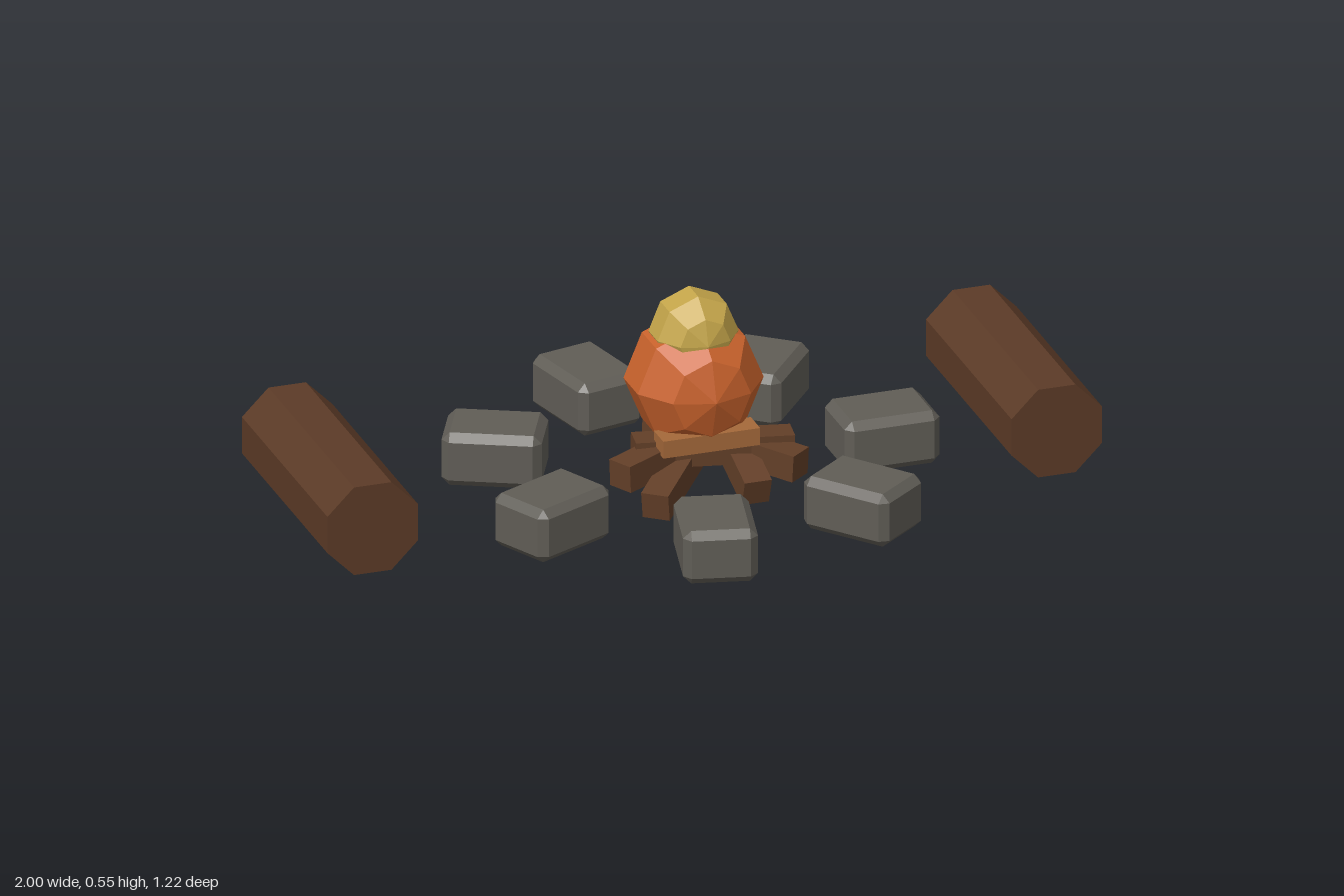
import * as THREE from 'three';
import { ConvexGeometry } from 'three/addons/geometries/ConvexGeometry.js';

const mat = (color) => new THREE.MeshStandardMaterial({ color, flatShading: true });

// Box with flat chamfers on every edge
function chamferBox(w, h, d, c) {
  const pts = [];
  for (const x of [-1, 1]) for (const y of [-1, 1]) for (const z of [-1, 1]) {
    pts.push(new THREE.Vector3(x * w / 2, y * (h / 2 - c), z * (d / 2 - c)));
    pts.push(new THREE.Vector3(x * (w / 2 - c), y * h / 2, z * (d / 2 - c)));
    pts.push(new THREE.Vector3(x * (w / 2 - c), y * (h / 2 - c), z * d / 2));
  }
  return new ConvexGeometry(pts);
}

export function createModel() {
  const model = new THREE.Group();
  const bark = mat(0x5c3b27), wood = mat(0x633f28), paleWood = mat(0xa5693a);
  const stone = mat(0x605d56), flame = mat(0xc8622c), flameTip = mat(0xc4a54a);

  const add = (name, geometry, material, x, y, z) => {
    const mesh = new THREE.Mesh(geometry, material);
    mesh.name = name;
    mesh.position.set(x, y, z);
    model.add(mesh);
    return mesh;
  };

  // Two octagonal seat logs, flat side down
  const logGeo = new THREE.CylinderGeometry(0.1265, 0.1265, 0.632, 8);
  logGeo.rotateY(Math.PI / 8).rotateX(Math.PI / 2);
  add('leftLog', logGeo, bark, 0.883, 0.117, -0.159);
  add('rightLog', logGeo, bark, -0.883, 0.117, -0.159);

  // Ring of seven chamfered stones
  const stoneGeo = chamferBox(0.246, 0.14, 0.184, 0.02);
  for (let i = 0; i < 7; i++) {
    const a = i * Math.PI * 2 / 7;
    add('stone', stoneGeo, stone, 0.487 * Math.cos(a), 0.11, 0.487 * Math.sin(a)).rotation.y = -a;
  }

  // Firewood sticks: start and end of each
  const sticks = [
    [[0.092, 0.09, 0.205], [0.092, 0.225, -0.205]],
    [[-0.17, 0.09, 0.205], [0.09, 0.16, -0.12]],
    [[-0.235, 0.15, 0.13], [0.1, 0.17, -0.04]],
    [[0.21, 0.14, 0.19], [-0.06, 0.165, -0.15]],
    [[0.22, 0.16, 0.1], [-0.17, 0.17, 0.04]],
  ];
  for (const [p, q] of sticks) {
    const a = new THREE.Vector3(...p), b = new THREE.Vector3(...q);
    const geo = new THREE.BoxGeometry(0.07, 0.07, a.distanceTo(b));
    const mid = a.clone().add(b).multiplyScalar(0.5);
    add('stick', geo, wood, mid.x, mid.y, mid.z).lookAt(b);
  }
  add('plank', new THREE.BoxGeometry(0.25, 0.045, 0.07), paleWood, 0, 0.205, 0.1);

  // Faceted flame: two low-poly balls with their poles facing front and back
  const ball = (r) => new THREE.SphereGeometry(r, 8, 5).rotateX(Math.PI / 2);
  add('flame', ball(0.171), flame, 0, 0.325, 0);
  add('flameTip', ball(0.11), flameTip, 0, 0.45, 0);

  return model;
}
